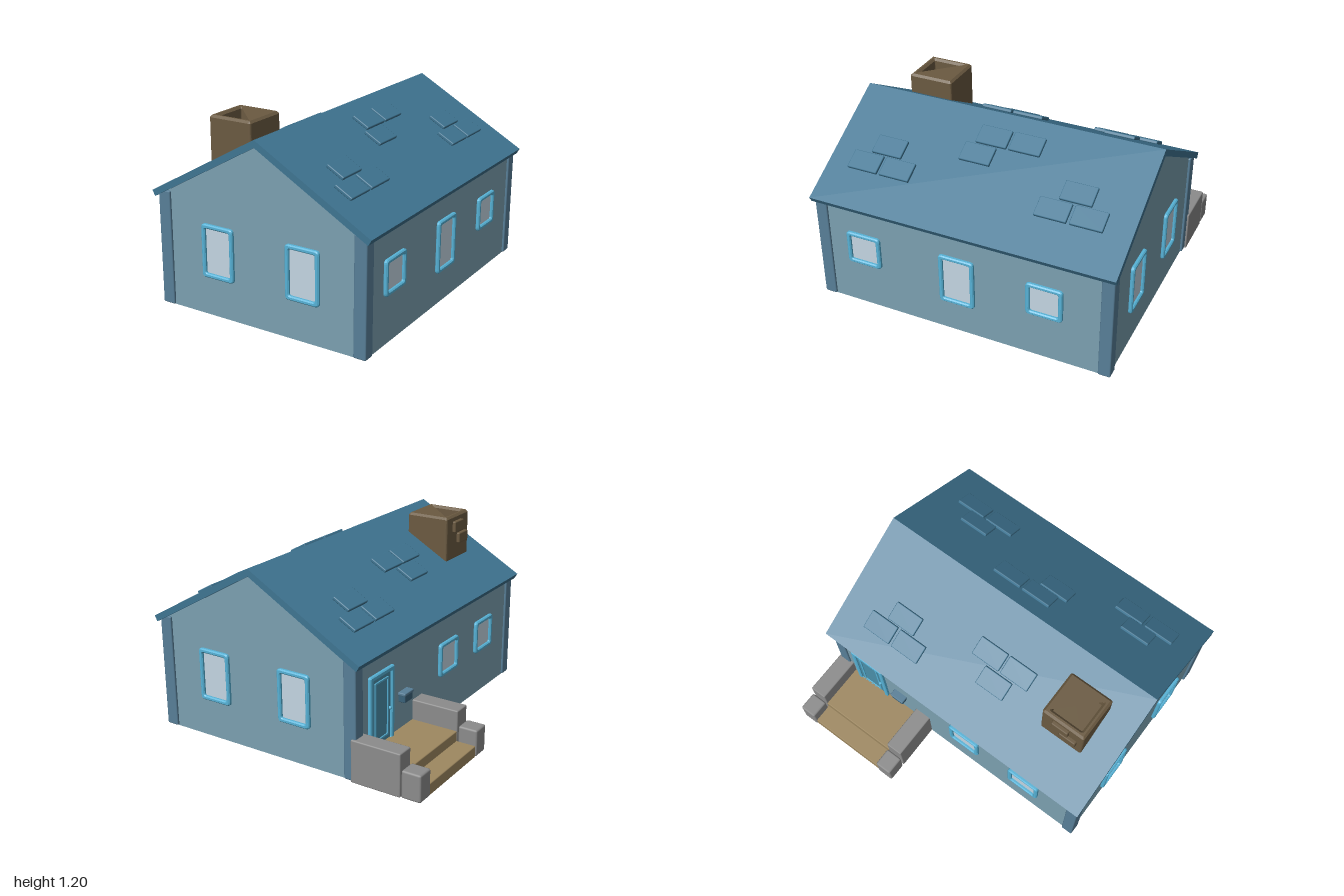
import * as THREE from 'three';
import { RoundedBoxGeometry } from 'three/addons/geometries/RoundedBoxGeometry.js';

const mat = (color) => new THREE.MeshStandardMaterial({ color });
const WALL = mat(0x7ba0b0), ROOF = mat(0x3f7592), POST = mat(0x587f98), TRIM = mat(0x56b2d6);
const GLASS = mat(0xc3d5e2), BRICK = mat(0x6b5a41), STONE = mat(0x8c8c8c), WOOD = mat(0x9e8860);
const DOOR = mat(0x4a8ea8), DARK = mat(0x3a627a);

// Ridge line and slope shared by roof, walls and shingles
const RIDGE_X = 0.2, RIDGE_Y = 1.168, SLOPE = 0.565;
const roofY = (x) => RIDGE_Y - Math.abs(x - RIDGE_X) * SLOPE;

function add(parent, name, geometry, material) {
  const mesh = new THREE.Mesh(geometry, material);
  mesh.name = name;
  parent.add(mesh);
  return mesh;
}

// Softly bevelled box given by its extents
function block(parent, name, [x0, x1], [y0, y1], [z0, z1], material, r = 0.008) {
  const geo = new RoundedBoxGeometry(x1 - x0, y1 - y0, z1 - z0, 1, r);
  const mesh = add(parent, name, geo, material);
  mesh.position.set((x0 + x1) / 2, (y0 + y1) / 2, (z0 + z1) / 2);
  return mesh;
}

function polygon(points) {
  return new THREE.Shape(points.map(([x, y]) => new THREE.Vector2(x, y)));
}

function roundedRect(w, h, r, target = new THREE.Shape()) {
  const x = w / 2, y = h / 2;
  target.moveTo(-x + r, -y);
  target.lineTo(x - r, -y);
  target.quadraticCurveTo(x, -y, x, -y + r);
  target.lineTo(x, y - r);
  target.quadraticCurveTo(x, y, x - r, y);
  target.lineTo(-x + r, y);
  target.quadraticCurveTo(-x, y, -x, y - r);
  target.lineTo(-x, -y + r);
  target.quadraticCurveTo(-x, -y, -x + r, -y);
  return target;
}

// Bevelled ring, lying in the xy plane with its back at z = 0
function ringGeometry(w, h, border, r, depth, bevel) {
  const shape = roundedRect(w, h, r);
  shape.holes.push(roundedRect(w - 2 * border, h - 2 * border, r * 0.5, new THREE.Path()));
  const geo = new THREE.ExtrudeGeometry(shape, {
    depth: depth - 2 * bevel, bevelSize: bevel, bevelThickness: bevel,
    bevelOffset: -bevel, bevelSegments: 1, curveSegments: 4,
  });
  return geo.translate(0, 0, bevel);
}

// Window facing +z before rotation
function makeWindow(parent, name, w, h, position, turn) {
  const group = new THREE.Group();
  group.name = name;
  add(group, 'windowFrame', ringGeometry(w, h, 0.027, 0.025, 0.028, 0.007), TRIM);
  const glass = add(group, 'windowGlass', new THREE.BoxGeometry(w - 0.04, h - 0.04, 0.016), GLASS);
  glass.position.z = 0.002;
  group.position.set(...position);
  group.rotation.y = turn;
  parent.add(group);
}

export function createModel() {
  const house = new THREE.Group();
  house.name = 'house';

  // Walls: gabled body extruded front to back
  const under = (x) => roofY(x) - 0.03;
  const body = polygon([[-0.517, 0], [0.912, 0], [0.912, under(0.912)], [RIDGE_X, under(RIDGE_X)], [-0.517, under(-0.517)]]);
  add(house, 'walls', new THREE.ExtrudeGeometry(body, { depth: 1.94, bevelEnabled: false }).translate(0, 0, -0.97), WALL);

  // Roof: folded slab with square-cut eaves
  const roof = polygon([
    [-0.565, 0.735], [-0.545, 0.7], [RIDGE_X, RIDGE_Y - 0.046], [0.94, 0.7], [0.96, 0.735], [RIDGE_X, RIDGE_Y],
  ]);
  add(house, 'roof', new THREE.ExtrudeGeometry(roof, { depth: 2, bevelEnabled: false }).translate(0, 0, -1), ROOF);

  // Corner posts
  for (const [x0, x1] of [[-0.53, -0.445], [0.843, 0.926]])
    for (const s of [-1, 1])
      block(house, 'cornerPost', [x0, x1], [0.003, 0.742], s > 0 ? [0.905, 0.985] : [-0.985, -0.905], POST);

  // Shingle clusters: [x, z] of each shingle centre
  const shingles = [
    [-0.347, -0.695], [-0.347, -0.472], [-0.228, -0.583],
    [-0.113, 0], [-0.113, 0.217], [-0.235, 0.118],
    [0.688, -0.728], [0.688, -0.505], [0.568, -0.615],
    [0.365, -0.195], [0.365, 0.025], [0.485, 0.08 - 0.0],
    [0.688, 0.525], [0.688, 0.747], [0.568, 0.64],
  ];
  const tilt = Math.atan(SLOPE);
  for (const [x, z] of shingles) {
    const tile = add(house, 'shingle', new RoundedBoxGeometry(0.128, 0.022, 0.205, 1, 0.006), ROOF);
    tile.position.set(x, roofY(x) + 0.014, z);
    tile.rotation.z = x < RIDGE_X ? tilt : -tilt;
  }

  // Chimney: hollow stack, dark floor inside, two raised bricks
  const chimney = new THREE.Group();
  chimney.name = 'chimney';
  const stack = add(chimney, 'chimneyStack', ringGeometry(0.3, 0.3, 0.04, 0.016, 0.34, 0.014), BRICK);
  stack.rotation.x = -Math.PI / 2;
  stack.position.set(-0.12, 0.86, 0.65);
  block(chimney, 'chimneyFloor', [-0.24, 0], [0.95, 1.12], [0.53, 0.77], BRICK, 0.004);
  block(chimney, 'raisedBrick', [-0.292, -0.26], [1.085, 1.16], [0.58, 0.7], BRICK);
  block(chimney, 'raisedBrick', [-0.292, -0.26], [1.0, 1.07], [0.64, 0.76], BRICK);
  house.add(chimney);

  // Gable windows, front and back
  for (const x of [-0.093, 0.505]) {
    makeWindow(house, 'frontWindow', 0.23, 0.34, [x, 0.42, 0.965], 0);
    makeWindow(house, 'backWindow', 0.23, 0.34, [x, 0.42, -0.965], Math.PI);
  }
  // Side windows
  for (const [z, y, h] of [[0.658, 0.42, 0.225], [0.015, 0.383, 0.34], [-0.558, 0.42, 0.225]])
    makeWindow(house, 'leftWindow', 0.235, h, [0.907, y, z], Math.PI / 2);
  for (const z of [0.09, 0.57])
    makeWindow(house, 'rightWindow', 0.235, 0.225, [-0.514, 0.42, z], -Math.PI / 2);

  // Door with frame, panel and handle
  const door = new THREE.Group();
  door.name = 'door';
  const frame = add(door, 'doorFrame', ringGeometry(0.26, 0.49, 0.03, 0.012, 0.026, 0.006), TRIM);
  frame.name = 'doorFrame';
  add(door, 'doorLeaf', new THREE.BoxGeometry(0.22, 0.45, 0.024), DOOR);
  const panel = add(door, 'doorPanel', ringGeometry(0.15, 0.38, 0.014, 0.01, 0.008, 0.002), TRIM);
  panel.position.z = 0.011;
  const handle = add(door, 'doorHandle', new THREE.SphereGeometry(0.011, 10, 8), TRIM);
  handle.position.set(0.086, -0.02, 0.02);
  door.position.set(-0.514, 0.355, -0.71);
  door.rotation.y = -Math.PI / 2;
  house.add(door);

  // Letter box beside the door
  block(house, 'letterBox', [-0.562, -0.51], [0.32, 0.375], [-0.5, -0.41], DARK, 0.006);
  block(house, 'letterBoxLid', [-0.567, -0.51], [0.365, 0.385], [-0.507, -0.403], POST, 0.006);

  // Porch: two wooden steps between stone side walls
  block(house, 'lowerStep', [-0.958, -0.82], [0, 0.075], [-0.89, -0.33], WOOD, 0.006);
  block(house, 'upperStep', [-0.83, -0.51], [0, 0.14], [-0.89, -0.33], WOOD, 0.006);
  for (const z of [[-0.997, -0.882], [-0.335, -0.218]]) {
    block(house, 'porchWall', [-0.832, -0.5], [0, 0.272], z, STONE);
    block(house, 'porchPier', [-0.965, -0.838], [0.003, 0.176], z, STONE, 0.012);
  }
  return house;
}
